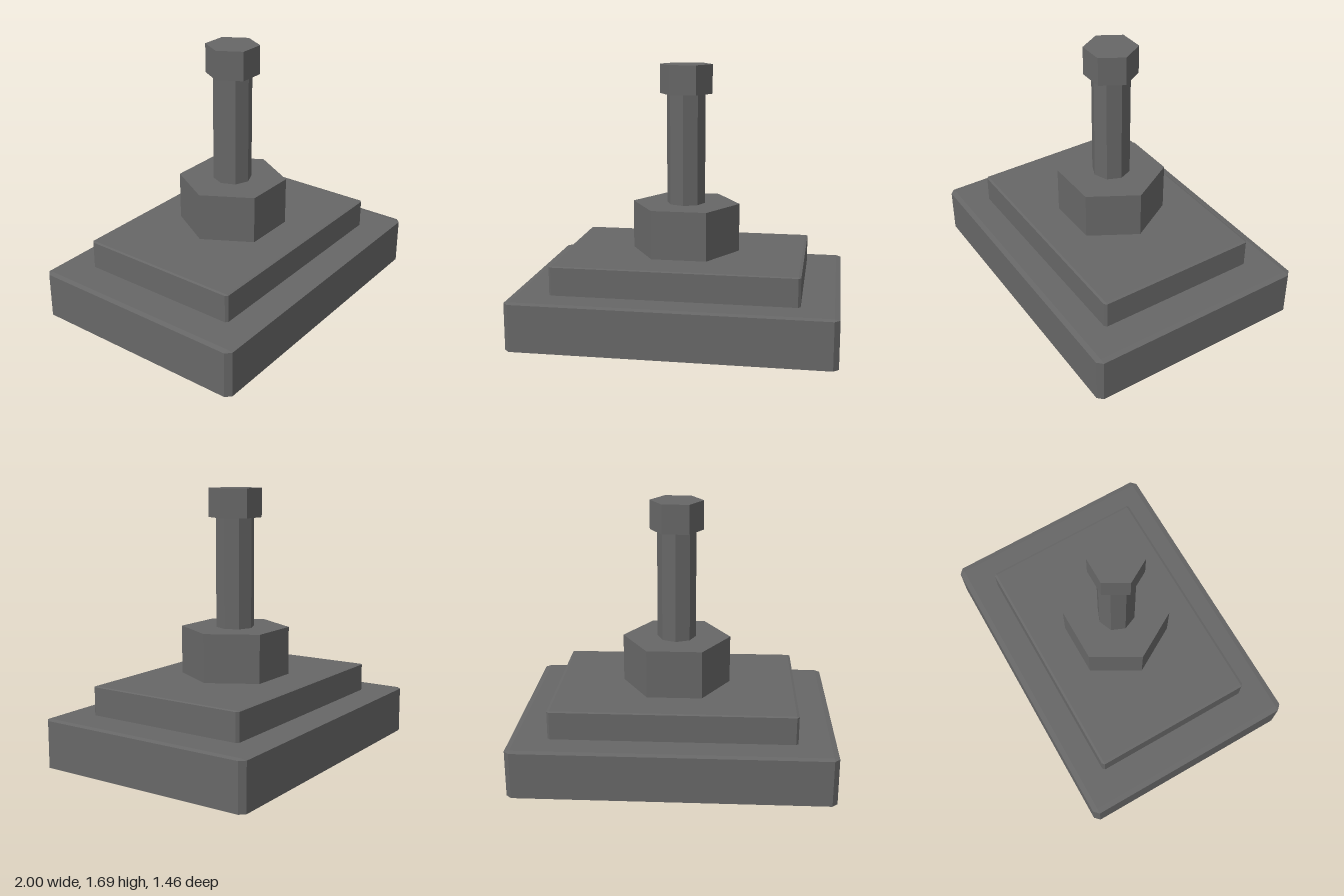
import * as THREE from 'three';
import { ConvexGeometry } from 'three/addons/geometries/ConvexGeometry.js';

export function createModel() {
  const model = new THREE.Group();
  const grey = new THREE.MeshStandardMaterial({ color: 0x676767 });
  grey.name = 'dark grey';

  function add(name, geometry, y) {
    const mesh = new THREE.Mesh(geometry, grey);
    mesh.name = name;
    mesh.position.y = y;
    model.add(mesh);
  }

  // Box with half sizes x, y, z; edges chamfered c sideways and d vertically
  function chamferedBox(x, y, z, c, d) {
    const points = [];
    for (const sx of [-1, 1]) for (const sy of [-1, 1]) for (const sz of [-1, 1]) {
      points.push(
        new THREE.Vector3(sx * (x - c), sy * y, sz * (z - c)),
        new THREE.Vector3(sx * x, sy * (y - d), sz * (z - c)),
        new THREE.Vector3(sx * (x - c), sy * (y - d), sz * z)
      );
    }
    return new ConvexGeometry(points);
  }

  // Faceted prism with a corner on the x axis
  function prism(radius, height, sides) {
    const flat = new THREE.CylinderGeometry(radius, radius, height, sides).toNonIndexed();
    flat.rotateY(Math.PI / 2);
    flat.computeVertexNormals();
    return flat;
  }

  // Stepped plinth
  add('basePlate', chamferedBox(1, 0.154, 0.728, 0.033, 0.006), 0.154);
  add('upperPlate', chamferedBox(0.767, 0.0925, 0.537, 0.015, 0.004), 0.4005);

  // Hexagonal collar, octagonal post and hexagonal cap
  add('collar', prism(0.345, 0.308, 6), 0.656);
  add('post', prism(0.123, 0.7, 8), 1.16);
  add('cap', prism(0.168, 0.184, 6), 1.602);

  return model;
}
